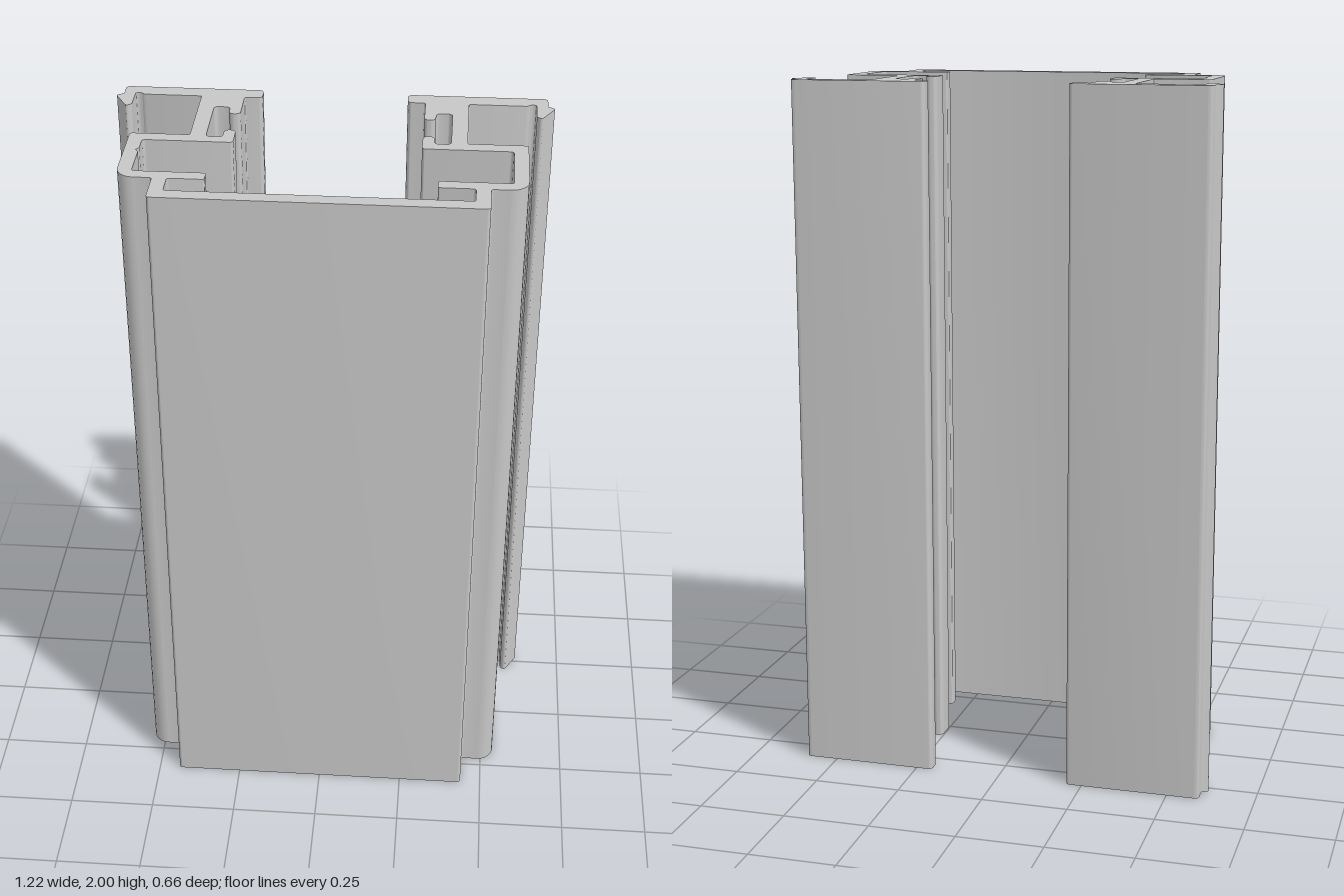
import * as THREE from 'three';
import { toCreasedNormals } from 'three/addons/utils/BufferGeometryUtils.js';

const HEIGHT = 2;

// Half of the cross-section as [x, z, corner radius], from the outer face round to the inner face
const HALF = [
  // front wall and rounded side chamber
  [0.439, 0.331, 0.01], [0.439, 0.223, 0.008], [0.537, 0.223, 0.05], [0.537, -0.036, 0.008],
  // web and underside of the rear flange
  [0.374, -0.036, 0.005], [0.374, -0.283, 0.005], [0.535, -0.283, 0.003],
  // snap hook
  [0.545, -0.292, 0.004], [0.561, -0.292, 0.006], [0.561, -0.216, 0.006], [0.576, -0.206, 0.007],
  [0.613, -0.272, 0.006], [0.593, -0.284, 0.002],
  // rear flange
  [0.593, -0.333, 0.012], [0.203, -0.333, 0.014], [0.203, -0.283, 0.014], [0.253, -0.283, 0.006],
  // gasket slot with two lips
  [0.253, -0.174, 0.016], [0.285, -0.174, 0.016], [0.285, -0.217, 0.012], [0.33, -0.217, 0.012],
  [0.33, -0.029, 0.012], [0.285, -0.029, 0.012], [0.285, -0.074, 0.016], [0.253, -0.074, 0.016],
  [0.253, 0.003, 0.01],
  // inside of the chamber, inner lip and front wall
  [0.498, 0.003, 0.01], [0.498, 0.186, 0.008], [0.302, 0.186, 0.006], [0.302, 0.223, 0.006],
  [0.4, 0.223, 0.008], [0.4, 0.29, 0.006],
];

// Small V groove found only in the right-hand chamber wall
const GROOVE = [[-0.498, 0.075, 0], [-0.506, 0.063, 0], [-0.498, 0.051, 0]];

// Closed shape whose corners are rounded by their own radius
function roundedShape(corners, steps = 6) {
  const pts = [];
  corners.forEach(([x, z, r], i) => {
    const p = new THREE.Vector2(x, -z);
    if (r === 0) { pts.push(p); return; }
    const n = corners.length;
    const toward = ([ax, az], distance, limit) => {
      const d = new THREE.Vector2(ax, -az).sub(p);
      const length = Math.min(distance, d.length() * limit);
      return p.clone().addScaledVector(d.normalize(), length);
    };
    const before = corners[(i + n - 1) % n];
    const after = corners[(i + 1) % n];
    const a = toward(before, r, 0.47);
    const b = toward(after, r, 0.47);
    const arc = new THREE.CubicBezierCurve(a, a.clone().lerp(p, 0.552), b.clone().lerp(p, 0.552), b);
    // a guard point on either side of the arc keeps the flat faces evenly shaded
    pts.push(toward(before, r * 1.1, 0.49), ...arc.getPoints(steps), toward(after, r * 1.1, 0.49));
  });
  return new THREE.Shape(pts);
}

export function createModel() {
  const group = new THREE.Group();
  group.name = 'channelProfile';

  const aluminium = new THREE.MeshStandardMaterial({ color: 0xc7c7c7 });
  aluminium.name = 'aluminium grey';

  // Mirror the half section, then cut the groove into the inside of the chamber wall
  const mirrored = HALF.map(([x, z, r]) => [-x, z, r]).reverse();
  const wallStart = mirrored.findIndex(([x]) => x === -0.498);
  mirrored.splice(wallStart + 1, 0, ...GROOVE);

  // Extrude the section upwards
  const geometry = new THREE.ExtrudeGeometry(roundedShape([...HALF, ...mirrored]), {
    depth: HEIGHT, bevelEnabled: false,
  });
  geometry.rotateX(-Math.PI / 2);

  const extrusion = new THREE.Mesh(toCreasedNormals(geometry, Math.PI / 6), aluminium);
  extrusion.name = 'extrudedProfile';
  group.add(extrusion);
  return group;
}
